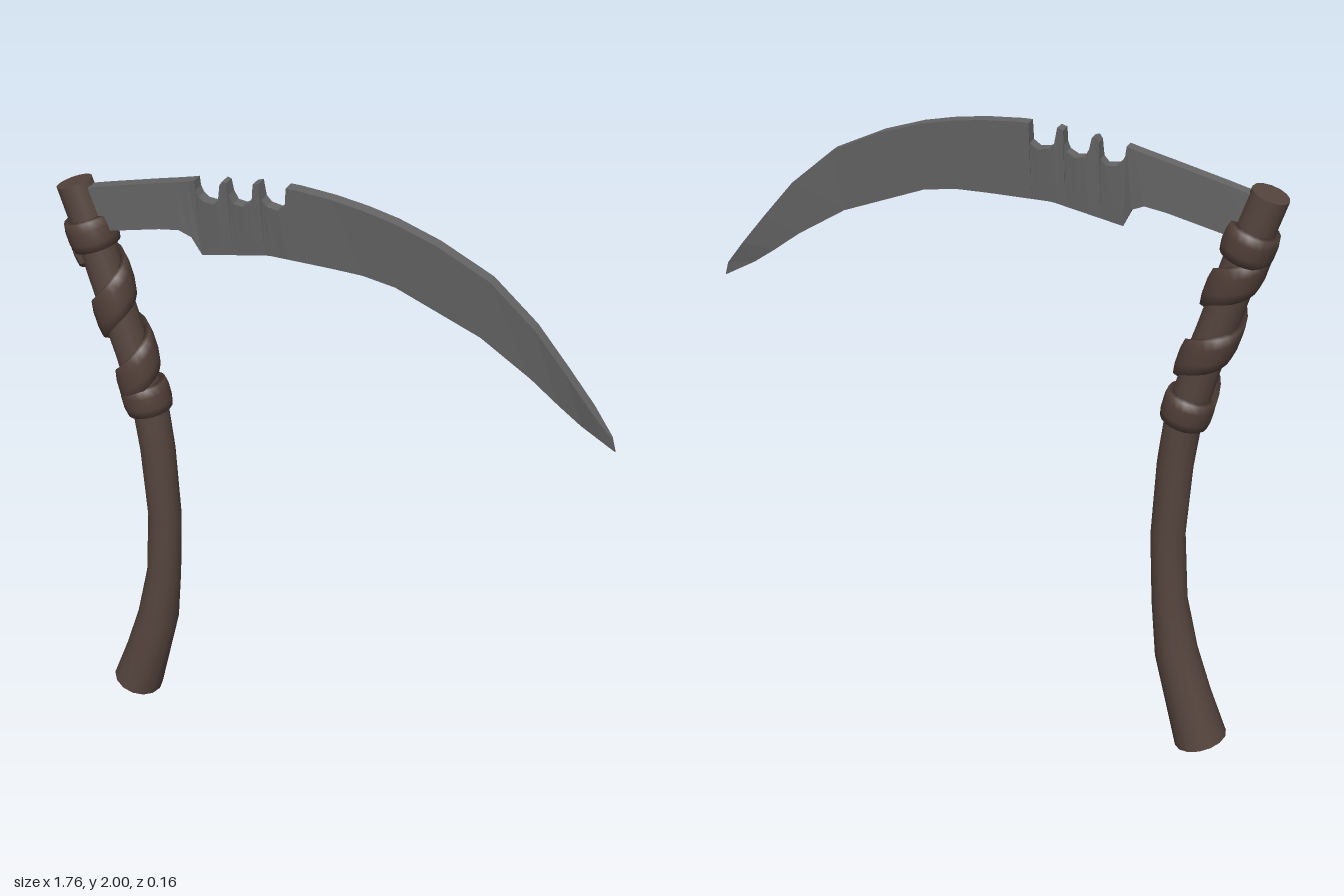
import * as THREE from 'three';

// Skin a list of equal-length rings (counter-clockwise about the travel direction) and cap both ends
function loft(rings, flat = false) {
  const pos = [], idx = [], n = rings[0].length;
  rings.forEach(r => r.forEach(p => pos.push(...p)));
  for (let i = 0; i < rings.length - 1; i++) {
    for (let j = 0; j < n; j++) {
      const a = i * n + j, b = i * n + (j + 1) % n;
      idx.push(a, b, b + n, a, b + n, a + n);
    }
  }
  [[rings[0], true], [rings[rings.length - 1], false]].forEach(([r, first]) => {
    const c = pos.length / 3;
    pos.push(...[0, 1, 2].map(k => r.reduce((s, p) => s + p[k], 0) / n));
    r.forEach(p => pos.push(...p));
    for (let j = 0; j < n; j++) {
      const a = c + 1 + j, b = c + 1 + (j + 1) % n;
      idx.push(c, first ? b : a, first ? a : b);
    }
  });
  let g = new THREE.BufferGeometry();
  g.setAttribute('position', new THREE.Float32BufferAttribute(pos, 3));
  g.setIndex(idx);
  if (flat) g = g.toNonIndexed();
  g.computeVertexNormals();
  return g;
}

// Bent handle axis: x, y, radius
const AXIS = [
  [-0.724, 0.026, 0.084], [-0.675, 0.18, 0.074], [-0.63, 0.335, 0.068], [-0.6, 0.52, 0.056],
  [-0.585, 0.75, 0.054], [-0.597, 1.0, 0.056], [-0.612, 1.13, 0.057], [-0.66, 1.33, 0.057],
  [-0.70, 1.46, 0.057], [-0.775, 1.72, 0.057], [-0.828, 1.88, 0.056],
];

function axisX(y) {
  let i = 0;
  while (i < AXIS.length - 2 && y > AXIS[i + 1][1]) i++;
  const [x0, y0] = AXIS[i], [x1, y1] = AXIS[i + 1];
  return x0 + (x1 - x0) * (y - y0) / (y1 - y0);
}

// Unit direction of the axis at height y
function axisDir(y) {
  const dx = axisX(y + 0.04) - axisX(y - 0.04), l = Math.hypot(dx, 0.08);
  return [dx / l, 0.08 / l];
}

function handleGeometry() {
  const sides = 14;
  return loft(AXIS.map(([x, y, r]) => {
    const [tx, ty] = axisDir(y);
    return Array.from({ length: sides }, (_, j) => {
      const a = j / sides * Math.PI * 2, u = r * Math.cos(a);
      return [x + ty * u, y - tx * u, -r * Math.sin(a)];
    });
  }));
}

// Strap wound around the handle; pitch 0 gives a closed band
function strapGeometry(y0, pitch, turns, width, radius, start = 0) {
  const h = width / 2;
  const section = [[h, 0.05], [h * 0.92, radius - 0.005], [h * 0.4, radius],
    [-h * 0.4, radius], [-h * 0.92, radius - 0.005], [-h, 0.05]];
  const steps = Math.round(turns * 20), rings = [];
  for (let i = 0; i <= steps; i++) {
    const a = start + i / steps * turns * Math.PI * 2;
    const y = y0 + pitch * i / steps * turns;
    const cx = axisX(y), [tx, ty] = axisDir(y);
    rings.push(section.map(([s, r]) => {
      const u = -Math.cos(a) * r;
      return [cx + ty * u + tx * s, y - tx * u + ty * s, Math.sin(a) * r];
    }));
  }
  return loft(rings);
}

function bladeGeometry() {
  const T = 0.0185;
  // stations: top x, top y, bottom x, bottom y, bottom half thickness
  const tang = [
    [-0.80, 1.871, -0.79, 1.735, T], [-0.71, 1.895, -0.71, 1.75, T], [-0.55, 1.935, -0.54, 1.79, T],
    [-0.475, 1.953, -0.475, 1.80, T], [-0.44, 1.962, -0.437, 1.783, 0.014], [-0.418, 1.968, -0.41, 1.725, 0.001],
  ];
  // notched stretch of the spine
  const notches = [
    [-0.415, 1.94], [-0.405, 1.92], [-0.39, 1.908], [-0.358, 1.905], [-0.343, 1.922], [-0.337, 1.97],
    [-0.328, 1.983], [-0.316, 1.98], [-0.309, 1.945], [-0.295, 1.92], [-0.268, 1.916], [-0.243, 1.93],
    [-0.235, 1.95], [-0.232, 1.992], [-0.214, 1.997], [-0.206, 1.95], [-0.19, 1.932], [-0.156, 1.926],
    [-0.133, 1.942], [-0.129, 2.0],
  ].map(([x, y]) => {
    const bx = Math.max(x, -0.409);
    return [x, y, bx, Math.min(1.725 + (bx + 0.41) * 0.2, 1.768), 0.001];
  });
  const curve = [
    [-0.10, 2.0, -0.10, 1.768], [0.01, 1.992, 0.0, 1.768], [0.11, 1.977, 0.10, 1.766], [0.20, 1.957, 0.20, 1.75],
    [0.325, 1.915, 0.32, 1.703], [0.485, 1.838, 0.46, 1.648], [0.62, 1.72, 0.615, 1.55],
    [0.72, 1.6, 0.70, 1.485], [0.80, 1.50, 0.77, 1.435],
  ].map(s => [...s, 0.001]);
  const ring = ([x, y, bx, by, b], t = T) => [[x, y, -t], [x, y, t], [bx, by, b], [bx, by, -b]];
  return loft([
    ...[...tang, ...notches, ...curve].map(s => ring(s)),
    ring([0.862, 1.42, 0.84, 1.395, 0.001], 0.006),
    ring([0.876, 1.376, 0.875, 1.375, 0.0005], 0.001),
  ], true);
}

export function createModel() {
  const wood = new THREE.MeshStandardMaterial({ color: 0x55443d });
  wood.name = 'darkWood';
  const leather = new THREE.MeshStandardMaterial({ color: 0x503e37 });
  leather.name = 'brownLeather';
  const steel = new THREE.MeshStandardMaterial({ color: 0x656565 });
  steel.name = 'greySteel';

  const group = new THREE.Group();
  group.name = 'sickle';
  const add = (name, geometry, material) => {
    const mesh = new THREE.Mesh(geometry, material);
    mesh.name = name;
    group.add(mesh);
  };

  add('handle', handleGeometry(), wood);
  add('lowerBand', strapGeometry(1.19, 0, 1, 0.1, 0.077), leather);
  add('upperBand', strapGeometry(1.73, 0, 1, 0.1, 0.078), leather);
  // rising strap between the two bands
  add('spiralStrap', strapGeometry(1.215, 0.23, 2.15, 0.13, 0.076), leather);
  add('blade', bladeGeometry(), steel);
  return group;
}
